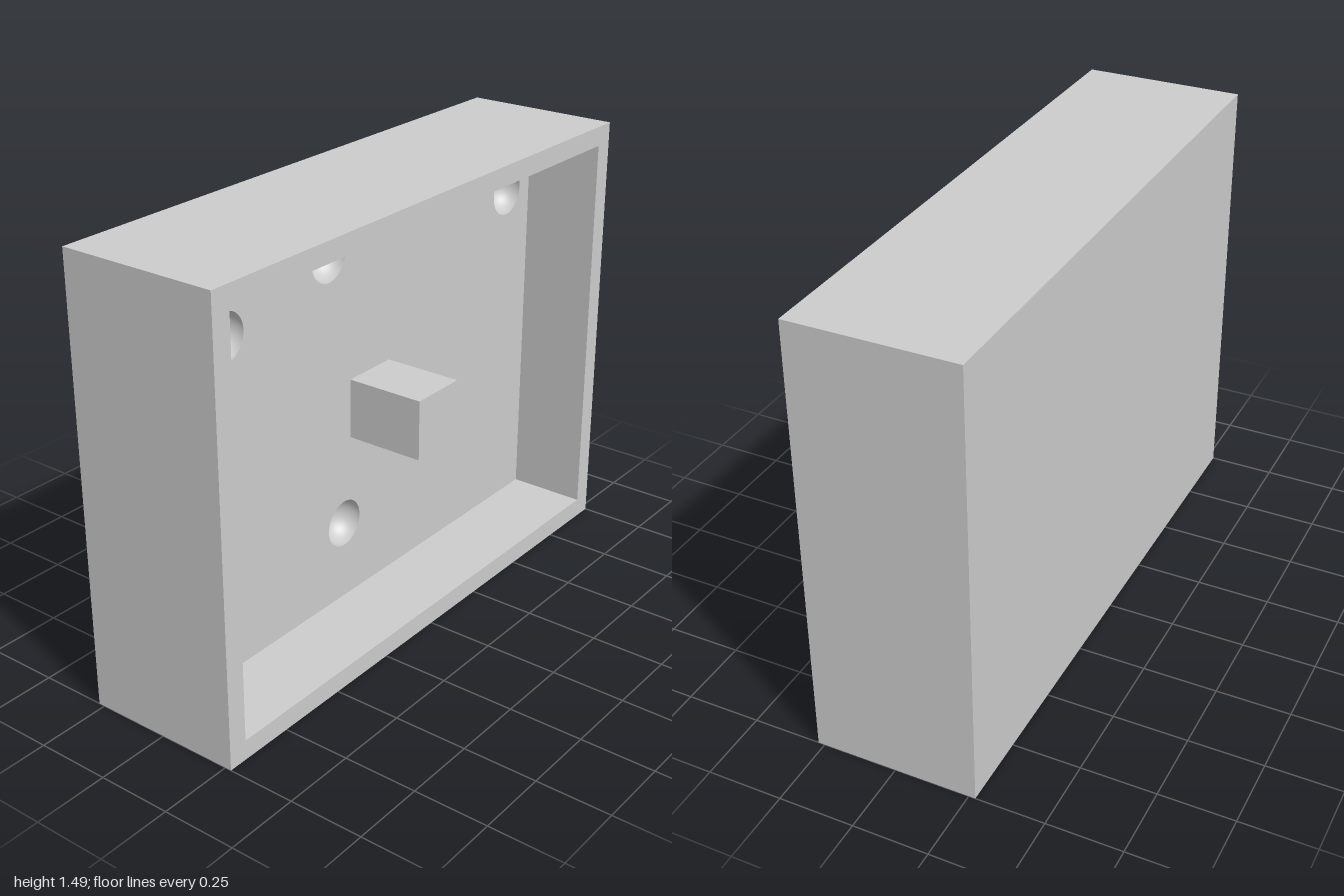
import * as THREE from 'three';

const W = 2, H = 1.493, D = 0.544, WALL = 0.067;
const FLOOR_Z = 0, FRONT_Z = D / 2;
const DIMPLE_R = 0.081;
// Dimple centres on the recess floor, measured from the middle of the case
const DIMPLES = [[-0.663, 0.433], [-0.189, 0.54], [0.794, 0.499], [-0.121, -0.406]];

const material = new THREE.MeshStandardMaterial({ color: 0xcccccc });
const bowlMaterial = new THREE.MeshStandardMaterial({ color: 0xcccccc, side: THREE.DoubleSide });

function add(parent, name, geometry, mat = material) {
  const mesh = new THREE.Mesh(geometry, mat);
  mesh.name = name;
  parent.add(mesh);
  return mesh;
}

function rectangle(w, h, Type = THREE.Shape) {
  return new Type([[-1, -1], [1, -1], [1, 1], [-1, 1]]
    .map(([x, y]) => new THREE.Vector2(x * w / 2, y * h / 2)));
}

// Four side faces of a box between two depths, facing outward or inward
function addSides(parent, name, w, h, z0, z1, inward) {
  const group = new THREE.Group();
  group.name = name;
  const depth = z1 - z0, z = (z0 + z1) / 2;
  for (const s of [-1, 1]) {
    const facing = inward ? -s : s;
    add(group, 'verticalSide', new THREE.PlaneGeometry(depth, h)
      .rotateY(facing * Math.PI / 2).translate(s * w / 2, 0, z));
    add(group, 'horizontalSide', new THREE.PlaneGeometry(w, depth)
      .rotateX(-facing * Math.PI / 2).translate(0, s * h / 2, z));
  }
  parent.add(group);
}

export function createModel() {
  const model = new THREE.Group();
  model.name = 'recessedCase';
  const body = new THREE.Group();
  body.name = 'case';
  body.position.y = H / 2;
  model.add(body);

  const innerW = W - 2 * WALL, innerH = H - 2 * WALL;

  // Outer shell and back
  addSides(body, 'outerWalls', W, H, -D / 2, FRONT_Z, false);
  add(body, 'back', new THREE.PlaneGeometry(W, H).rotateY(Math.PI).translate(0, 0, -D / 2));

  // Front rim around the opening, and the walls of the recess
  const rim = rectangle(W, H);
  rim.holes.push(rectangle(innerW, innerH, THREE.Path));
  add(body, 'frontRim', new THREE.ShapeGeometry(rim).translate(0, 0, FRONT_Z));
  addSides(body, 'recessWalls', innerW, innerH, FLOOR_Z, FRONT_Z, true);

  // Recess floor with round openings, each backed by a hemispherical bowl
  const floor = rectangle(innerW, innerH);
  for (const [x, y] of DIMPLES) {
    floor.holes.push(new THREE.Path().absarc(x, y, DIMPLE_R, 0, Math.PI * 2, true));
    const bowl = new THREE.SphereGeometry(DIMPLE_R, 48, 16, 0, Math.PI * 2, 0, Math.PI / 2)
      .rotateX(-Math.PI / 2);
    add(body, 'dimple', bowl, bowlMaterial).position.set(x, y, FLOOR_Z);
  }
  add(body, 'recessFloor', new THREE.ShapeGeometry(floor, 24).translate(0, 0, FLOOR_Z));

  // Square post, flush with the front rim
  const post = add(body, 'post', new THREE.BoxGeometry(0.204, 0.204, FRONT_Z - FLOOR_Z));
  post.position.set(0.016, -0.002, (FRONT_Z + FLOOR_Z) / 2);

  return model;
}
